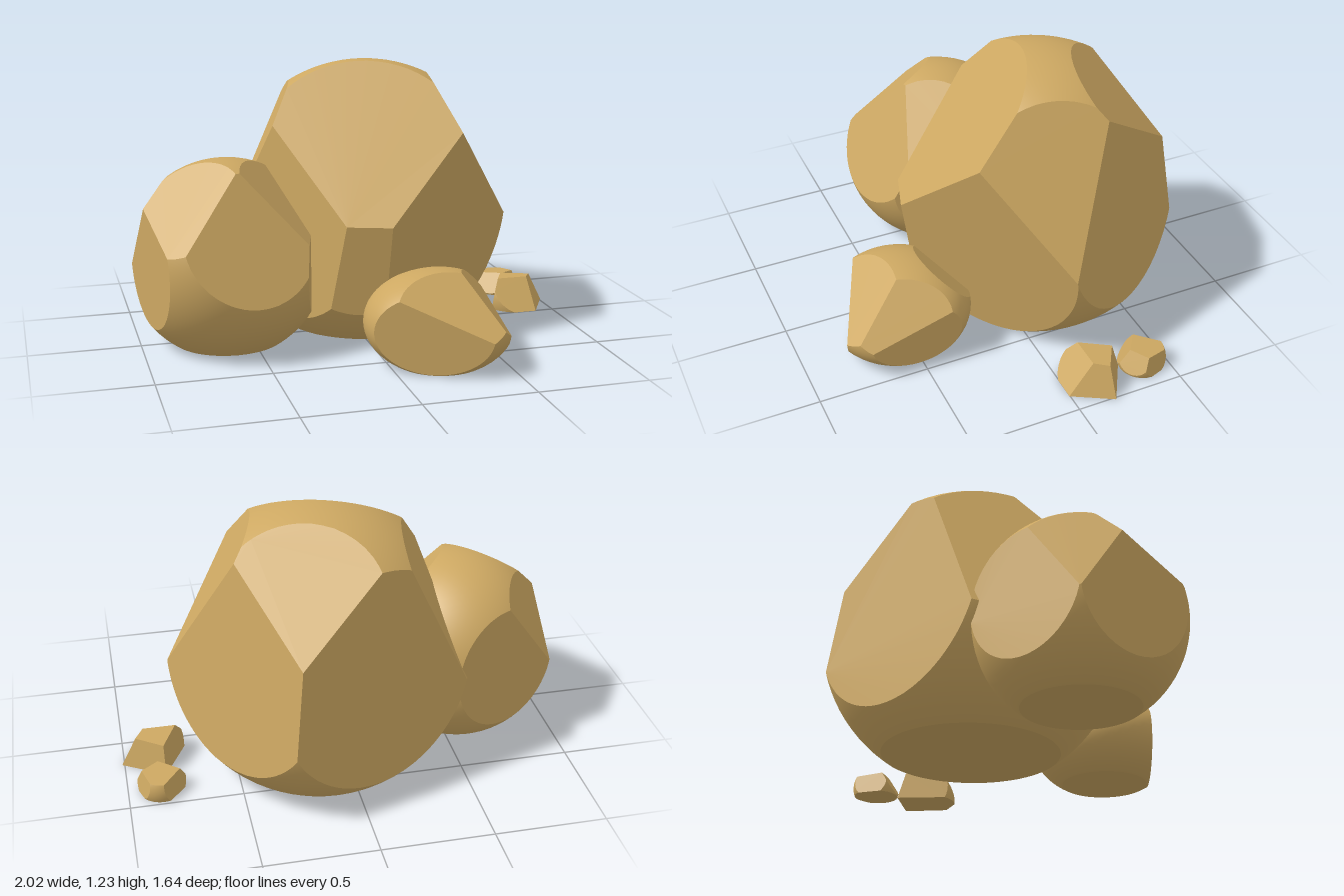
import * as THREE from 'three';

const sandstone = new THREE.MeshStandardMaterial({ color: 0xcda862 });
sandstone.name = 'sandstone';

// Keep the part of a convex polygon behind a plane; crossing points go to rim
function clipPolygon(points, plane, rim) {
  const kept = [];
  points.forEach((a, i) => {
    const b = points[(i + 1) % points.length];
    const da = plane.distanceToPoint(a), db = plane.distanceToPoint(b);
    if (da <= 0) kept.push(a);
    if ((da <= 0) !== (db <= 0)) {
      const p = a.clone().lerp(b, da / (da - db));
      kept.push(p);
      rim.push(p);
    }
  });
  return kept;
}

// Flat polygon that closes a cut: rim points sorted around the plane normal
function capPolygon(rim, normal) {
  const mid = rim.reduce((s, p) => s.add(p), new THREE.Vector3()).divideScalar(rim.length);
  const u = new THREE.Vector3(0, 1, 0);
  if (Math.abs(normal.y) > 0.9) u.set(1, 0, 0);
  u.cross(normal).normalize();
  const v = normal.clone().cross(u);
  const angle = (p) => {
    const d = p.clone().sub(mid);
    return Math.atan2(d.dot(v), d.dot(u));
  };
  return rim.map((p) => [angle(p), p]).sort((a, b) => a[0] - b[0]).map((e) => e[1]);
}

// A smooth ellipsoid with flat facets sliced off; cuts are [normal, point on the plane]
function makeRock(name, centre, radii, detail, cuts) {
  const c = new THREE.Vector3(...centre);
  const r = new THREE.Vector3(...radii);
  const ball = new THREE.IcosahedronGeometry(1, detail).getAttribute('position');
  let polygons = [];
  for (let i = 0; i < ball.count; i += 3) {
    const points = [0, 1, 2].map((k) =>
      new THREE.Vector3().fromBufferAttribute(ball, i + k).multiply(r).add(c));
    polygons.push({ points, flat: null });
  }
  const ground = [[0, -1, 0], [0, 0, 0]];
  for (const [n, p] of [...cuts, ground]) {
    const normal = new THREE.Vector3(...n).normalize();
    const plane = new THREE.Plane().setFromNormalAndCoplanarPoint(normal, new THREE.Vector3(...p));
    const rim = [];
    polygons = polygons
      .map(({ points, flat }) => ({ points: clipPolygon(points, plane, rim), flat }))
      .filter((poly) => poly.points.length > 2);
    if (rim.length > 2) polygons.push({ points: capPolygon(rim, normal), flat: normal });
  }
  const positions = [], normals = [];
  for (const { points, flat } of polygons) {
    for (let i = 1; i < points.length - 1; i++) {
      for (const p of [points[0], points[i], points[i + 1]]) {
        positions.push(p.x, p.y, p.z);
        const n = flat || p.clone().sub(c).divide(r).divide(r).normalize();
        normals.push(n.x, n.y, n.z);
      }
    }
  }
  const geometry = new THREE.BufferGeometry();
  geometry.setAttribute('position', new THREE.Float32BufferAttribute(positions, 3));
  geometry.setAttribute('normal', new THREE.Float32BufferAttribute(normals, 3));
  const mesh = new THREE.Mesh(geometry, sandstone);
  mesh.name = name;
  return mesh;
}

export function createModel() {
  const group = new THREE.Group();
  group.name = 'boulders';

  group.add(
    makeRock('largeBoulder', [0.1, 0.553, -0.2], [0.682, 0.68, 0.682], 14, [
      [[-0.22, 0.66, 0.72], [0.05, 0.58, 0.43]],   // upper front
      [[0.57, -0.14, 0.81], [0.05, 0.58, 0.43]],   // front, +x side
      [[-0.3, -0.13, 0.95], [0.05, 0.58, 0.43]],   // lower front
      [[0.85, 0.49, 0.18], [0.44, 0.94, 0.22]],    // upper +x side
      [[0.83, 0.15, -0.54], [0.77, 0.48, -0.09]],  // back, +x side
      [[-0.86, 0.03, 0.5], [-0.14, 0.59, 0.37]],   // front, -x side
      [[-0.89, 0.4, -0.2], [-0.38, 0.96, -0.03]],  // upper -x side
      [[-0.39, 0.08, -0.92], [0.28, 0.76, -0.77]], // back
      [[0.27, 0.69, -0.66], [0.49, 1.07, -0.36]],  // upper back
    ]),

    makeRock('mediumBoulder', [-0.6, 0.38, -0.01], [0.455, 0.455, 0.455], 12, [
      [[0.16, 0.44, 0.88], [-0.57, 0.78, 0.17]],    // front
      [[-0.51, 0.73, 0.46], [-0.6, 0.79, 0.16]],    // upper front, -x side
      [[-0.98, -0.01, 0.19], [-0.97, 0.63, 0]],     // -x side
      [[-0.78, 0.42, -0.47], [-0.97, 0.63, 0]],     // upper back, -x side
      [[-0.42, 0.04, -0.9], [-0.78, 0.61, -0.305]], // back
      [[0.62, 0.68, 0.36], [-0.55, 0.78, 0.17]],    // upper +x side
      [[0.95, 0, 0.3], [-0.26, 0.25, 0.2]],         // +x side
    ]),

    makeRock('frontRock', [0.23, 0.18, 0.53], [0.33, 0.225, 0.33], 10, [
      [[0.03, 0.74, 0.67], [-0.01, 0.33, 0.65]],   // upper front
      [[-0.41, 0, 0.91], [-0.01, 0.33, 0.65]],     // front
      [[0.73, 0.65, 0.2], [0.37, 0.32, 0.62]],     // upper +x side
      [[0.99, 0.05, 0.02], [0.485, 0.14, 0.6]],    // +x side
      [[-0.05, 0.7, -0.7], [0.2, 0.385, 0.41]],    // upper back
    ]),

    makeRock('nearPebble', [0.86, 0.04, -0.14], [0.16, 0.16, 0.16], 5, [
      [[0, 0.62, 0.78], [0.82, 0.13, -0.1]],       // front
      [[0.8, 0.4, 0.45], [0.9, 0.14, -0.1]],       // front, +x side
      [[0.5, 0.25, -0.84], [0.98, 0.04, -0.18]],   // back, +x side
      [[-0.88, 0.15, -0.45], [0.74, 0.08, -0.1]],  // back, -x side
      [[0, 1, -0.1], [0.85, 0.14, -0.14]],         // top
    ]),

    makeRock('farPebble', [0.85, 0.04, -0.385], [0.11, 0.11, 0.11], 5, [
      [[0.5, 0.45, 0.7], [0.9, 0.07, -0.33]],      // front, +x side
      [[-0.5, 0.5, 0.65], [0.8, 0.07, -0.34]],     // front, -x side
      [[0, 1, -0.1], [0.85, 0.097, -0.39]],        // top
      [[0.9, 0.2, -0.3], [0.945, 0.04, -0.38]],    // +x side
      [[-0.7, 0.2, -0.6], [0.79, 0.05, -0.43]],    // back, -x side
    ]),
  );
  return group;
}
